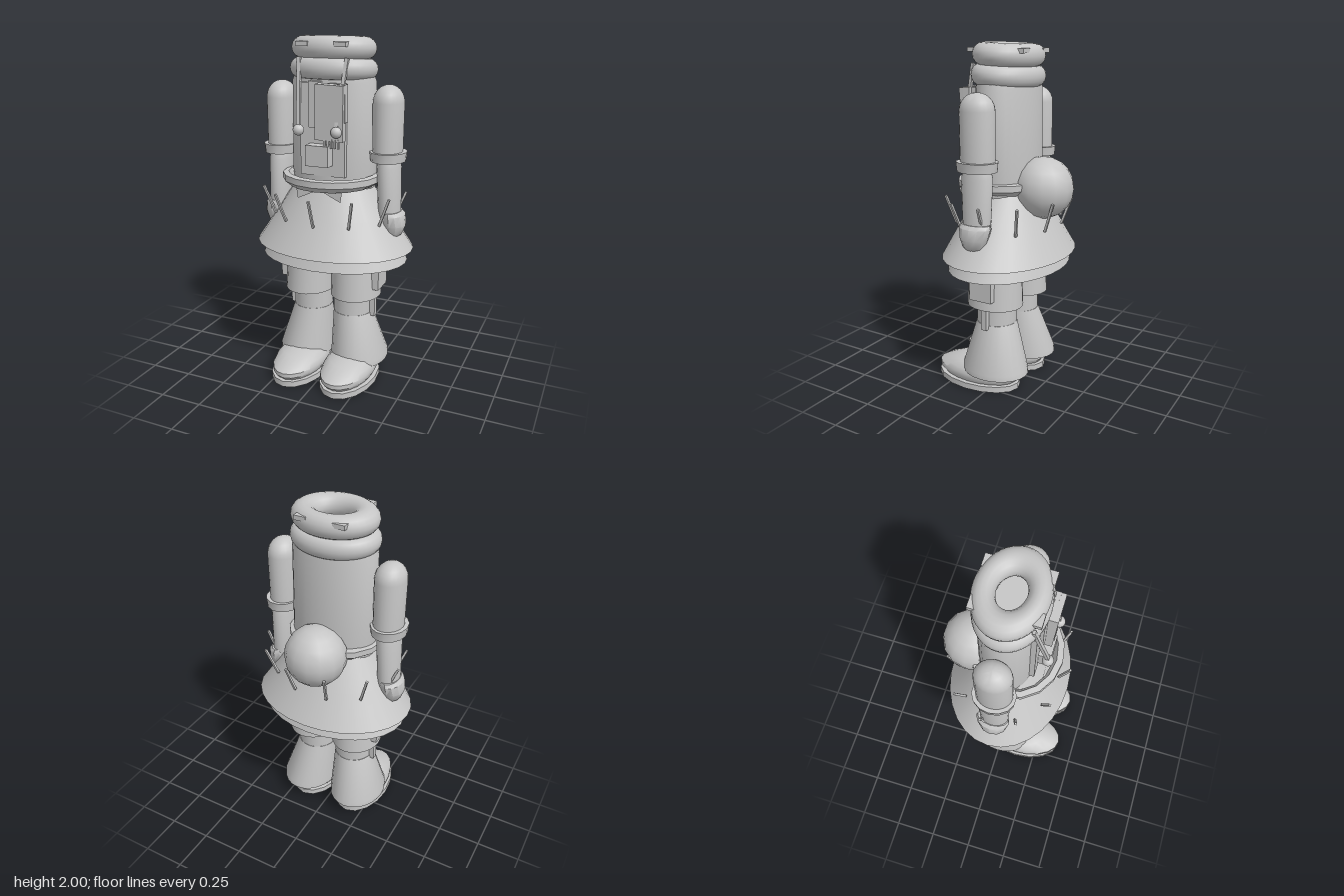
import * as THREE from 'three';
import { toCreasedNormals } from 'three/addons/utils/BufferGeometryUtils.js';

export function createModel() {
  const root = new THREE.Group();
  root.name = 'toyFigure';
  const clay = new THREE.MeshStandardMaterial({ color: 0xc6c6c6, side: THREE.DoubleSide });
  clay.name = 'light grey';

  function add(name, geo, x = 0, y = 0, z = 0) {
    const m = new THREE.Mesh(geo, clay);
    m.name = name;
    m.position.set(x, y, z);
    root.add(m);
    return m;
  }
  const box = (name, x0, x1, y0, y1, z0, z1) =>
    add(name, new THREE.BoxGeometry(x1 - x0, y1 - y0, z1 - z0), (x0 + x1) / 2, (y0 + y1) / 2, (z0 + z1) / 2);

  // Elliptical cross-sections from bottom to top: [y, centreX, centreZ, radiusX, radiusZ]
  function loft(rings, n = 24, capped = true) {
    const pos = [], idx = [];
    const list = capped
      ? [[...rings[0].slice(0, 3), 0, 0], ...rings, [...rings.at(-1).slice(0, 3), 0, 0]] : rings;
    list.forEach(([y, cx, cz, rx, rz]) => {
      for (let i = 0; i < n; i++) {
        const a = (i / n) * Math.PI * 2;
        pos.push(cx + rx * Math.cos(a), y, cz + rz * Math.sin(a));
      }
    });
    for (let r = 0; r < list.length - 1; r++) {
      for (let i = 0; i < n; i++) {
        const a = r * n + i, b = r * n + (i + 1) % n;
        idx.push(a, a + n, b, b, a + n, b + n);
      }
    }
    const g = new THREE.BufferGeometry();
    g.setAttribute('position', new THREE.Float32BufferAttribute(pos, 3));
    g.setIndex(idx);
    return toCreasedNormals(g, 0.65);
  }

  // Straight square rod between two points
  function rod(name, a, b, w, d = w) {
    const p = new THREE.Vector3(...a), q = new THREE.Vector3(...b);
    const m = add(name, new THREE.BoxGeometry(w, p.distanceTo(q), d));
    m.position.copy(p).lerp(q, 0.5);
    m.quaternion.setFromUnitVectors(new THREE.Vector3(0, 1, 0), q.sub(p).normalize());
    return m;
  }

  // Horizontal ring squashed into an ellipse
  function ring(name, R, tube, height, depth, y, z) {
    const g = new THREE.TorusGeometry(R, tube, 16, 40);
    g.rotateX(Math.PI / 2);
    g.scale(1, height / tube, depth);
    return add(name, g, 0, y, z);
  }

  // Torso and head rings
  add('torso', loft([[1.1, 0, 0, 0.23, 0.16], [1.24, 0, 0.002, 0.25, 0.167],
    [1.75, 0, 0.005, 0.245, 0.162], [1.88, 0, 0.005, 0.2, 0.14]], 32));
  ring('collar', 0.195, 0.058, 0.058, 0.76, 1.815, 0.01).rotation.x = -0.06;
  ring('headRing', 0.169, 0.074, 0.064, 0.775, 1.925, 0.007).rotation.x = -0.05;

  // Small tabs around the head ring
  for (const s of [-1, 1]) {
    box('frontTab', s * 0.11 - 0.035, s * 0.11 + 0.035, 1.94, 1.965, 0.145, 0.19);
    box('backTab', s * 0.11 - 0.035, s * 0.11 + 0.035, 1.935, 1.96, -0.165, -0.115);
  }

  // Chest panel, pack and straps
  box('chestPanel', -0.13, 0.135, 1.24, 1.75, 0.1, 0.172);
  box('chestBoard', -0.07, 0.0, 1.51, 1.76, 0.15, 0.19);
  box('chestPlate', -0.07, 0.065, 1.305, 1.42, 0.17, 0.24);
  const pack = box('chestPack', -0.012, 0.15, 1.45, 1.75, 0.185, 0.235);
  pack.rotation.set(0.05, 0, -0.03);
  box('packSide', 0.11, 0.155, 1.55, 1.75, 0.175, 0.215);
  for (let i = 0; i < 5; i++) {
    const x = 0.035 + i * 0.02;
    box('packTooth', x, x + 0.01, 1.41, 1.46, 0.215, 0.23);
  }
  for (const s of [-1, 1]) {
    rod('strap', [s * 0.11, 1.5, 0.235], [s * 0.14, 1.88, 0.155], 0.02, 0.018);
    add('strapBall', new THREE.SphereGeometry(0.031, 16, 12), s * 0.112, 1.5, 0.232);
  }

  // Belt: hollow band, wider at the top
  add('belt', loft([[1.17, 0, 0.04, 0.215, 0.2], [1.17, 0, 0.04, 0.24, 0.23],
    [1.2, 0, 0.04, 0.283, 0.26], [1.235, 0, 0.04, 0.283, 0.26],
    [1.24, 0, 0.04, 0.25, 0.225], [1.17, 0, 0.04, 0.215, 0.2]], 16, false));
  for (const s of [-1, 1]) {
    const tri = new THREE.Shape([new THREE.Vector2(0, 1.17), new THREE.Vector2(s * 0.14, 1.18),
      new THREE.Vector2(s * 0.13, 1.11)]);
    add('sashPoint', new THREE.ShapeGeometry(tri), 0, 0, 0.215);
  }

  // Two skirt layers
  add('skirt', loft([[0.805, 0, 0, 0.475, 0.36], [1.0, 0, 0, 0.34, 0.258], [1.18, 0, 0, 0.225, 0.17]], 28, false));
  add('underskirt', loft([[0.73, 0, 0, 0.442, 0.327], [0.81, 0, 0, 0.405, 0.3]], 28, false));
  add('underskirtLining', loft([[0.8, 0, 0, 0.405, 0.3], [0.801, 0, 0, 0.405, 0.3]], 28));

  // Spikes leaning out around the skirt
  for (let i = 0; i < 11; i++) {
    const a = (i / 11) * Math.PI * 2, sx = Math.sin(a), cz = Math.cos(a);
    rod('skirtSpike', [sx * 0.355, 0.975, cz * 0.293], [sx * 0.425, 1.14, cz * 0.352], 0.013);
  }

  // Round bundle on the back
  add('backBall', new THREE.SphereGeometry(0.175, 14, 10), 0, 1.2, -0.215);

  for (const s of [-1, 1]) {
    // Arm: rounded upper part, cuff, forearm and hand
    const upper = [[1.34, s * 0.325, 0.01, 0.083, 0.1]];
    for (let i = 0; i <= 6; i++) {
      const t = (i / 6) * Math.PI / 2;
      upper.push([1.645 + 0.095 * Math.sin(t), s * 0.325, 0.01,
        0.085 * Math.cos(t) + 0.0005, 0.1 * Math.cos(t) + 0.0005]);
    }
    add('upperArm', loft(upper));
    add('armCuff', loft([[1.325, s * 0.33, 0.01, 0.097, 0.115], [1.378, s * 0.33, 0.01, 0.103, 0.12]], 14));
    add('forearm', loft([[1.0, s * 0.345, 0.008, 0.062, 0.082], [1.29, s * 0.335, 0.008, 0.067, 0.092],
      [1.33, s * 0.335, 0.008, 0.06, 0.08]]));
    add('hand', loft([[0.885, s * 0.37, 0.01, 0.025, 0.035], [0.91, s * 0.37, 0.01, 0.05, 0.065],
      [0.96, s * 0.37, 0.008, 0.07, 0.083], [1.02, s * 0.365, 0.005, 0.065, 0.097],
      [1.04, s * 0.36, 0.005, 0.05, 0.09]], 12));

    // Leg: shorts, shin and flared boot leg
    add('shortsLeg', loft([[0.51, s * 0.148, 0.015, 0.148, 0.169], [0.73, s * 0.142, 0.015, 0.138, 0.157],
      [0.85, s * 0.135, 0.015, 0.13, 0.15]]));
    add('shin', loft([[0.38, s * 0.13, 0.015, 0.115, 0.118], [0.53, s * 0.13, 0.015, 0.115, 0.118]]));
    add('flaredLeg', loft([[0.1, s * 0.17, 0.003, 0.168, 0.205], [0.13, s * 0.17, 0.003, 0.168, 0.2],
      [0.4, s * 0.13, 0.015, 0.117, 0.12]]));
    box('sidePouch', s * 0.29 - 0.022, s * 0.29 + 0.022, 0.57, 0.74, -0.055, 0.085);
    box('sideStrip', s * 0.258 - 0.015, s * 0.258 + 0.015, 0.38, 0.53, 0, 0.035);

    // Shoe and sole
    add('sole', loft([[0, s * 0.157, 0.125, 0.16, 0.27], [0.035, s * 0.157, 0.125, 0.16, 0.27]], 16));
    add('shoeBody', loft([[0.035, s * 0.155, 0.125, 0.135, 0.245], [0.06, s * 0.155, 0.128, 0.15, 0.268],
      [0.085, s * 0.155, 0.128, 0.15, 0.268], [0.11, s * 0.155, 0.12, 0.142, 0.235],
      [0.14, s * 0.155, 0.12, 0.115, 0.16], [0.158, s * 0.155, 0.12, 0.06, 0.09]], 20));
  }
  return root;
}
